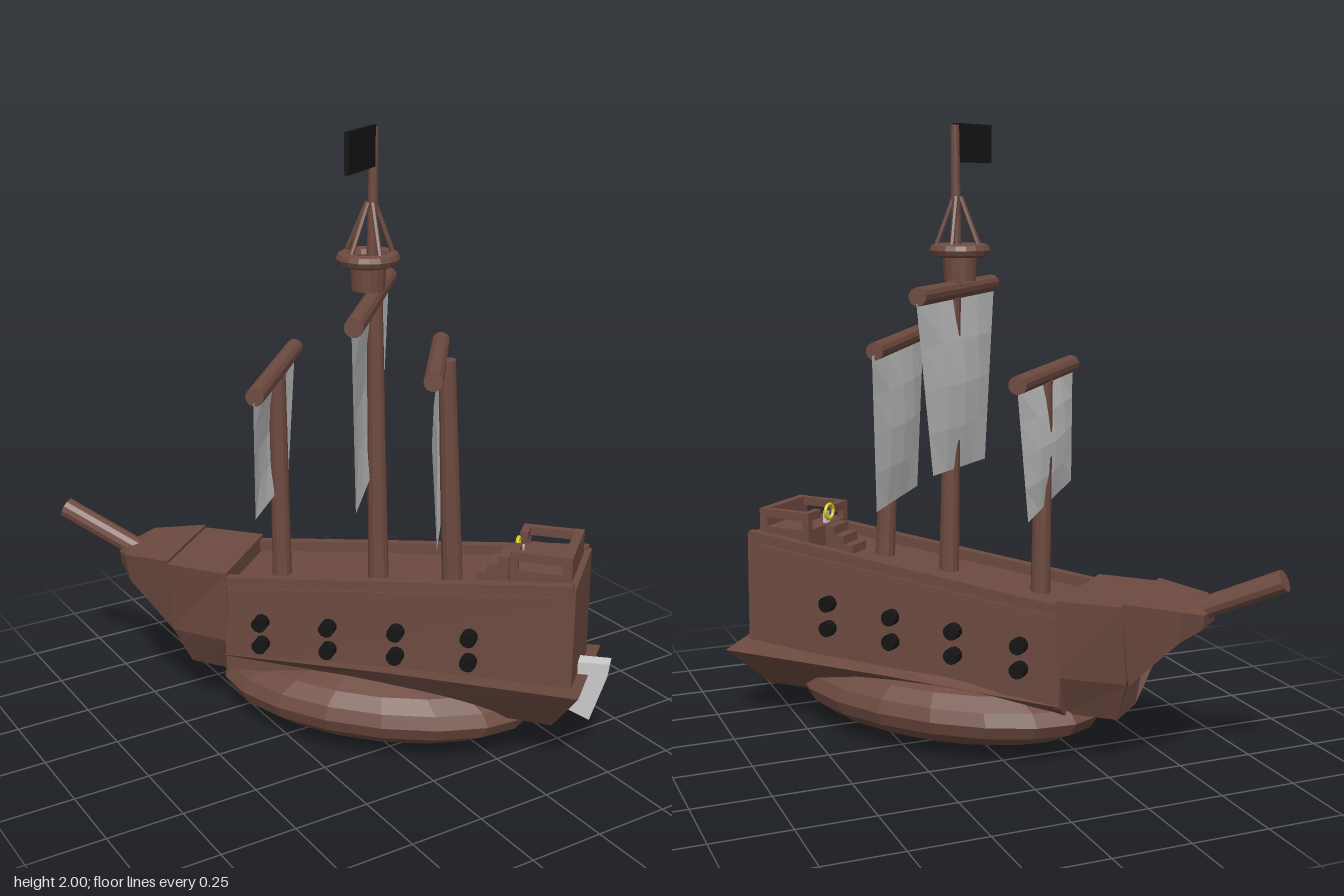
import * as THREE from 'three';

const material = (color, side = THREE.FrontSide) =>
  new THREE.MeshStandardMaterial({ color, side, flatShading: true });
const WOOD = material(0x6d4a40);
const BLACK = material(0x151515);
const YELLOW = material(0xd8c820);
const GREY = material(0xcccccc);
const CLOTH = material(0xcccccc, THREE.DoubleSide);
const V = (x, y, z) => new THREE.Vector3(x, y, z);

function add(parent, name, geometry, mat, x = 0, y = 0, z = 0) {
  const mesh = new THREE.Mesh(geometry, mat);
  mesh.name = name;
  mesh.position.set(x, y, z);
  parent.add(mesh);
  return mesh;
}

// Round bar between two points
function bar(parent, name, a, b, r0, r1 = r0, mat = WOOD, sides = 12) {
  const d = b.clone().sub(a);
  const mesh = add(parent, name, new THREE.CylinderGeometry(r1, r0, d.length(), sides), mat);
  mesh.position.copy(a).add(b).multiplyScalar(0.5);
  mesh.quaternion.setFromUnitVectors(V(0, 1, 0), d.normalize());
  return mesh;
}

// Skin over mirrored cross-sections; each point is [along, height, half width], top to bottom
function loft(sections, roll = 0) {
  const rings = sections.map((s) => {
    const mirrored = s.map(([x, y, w]) => [x, y, -w]).reverse();
    return [...s, ...mirrored].map(([x, y, w]) => [x, y + roll * w, w]);
  });
  const n = rings[0].length, pos = [];
  const tri = (a, b, c) => pos.push(...a, ...b, ...c);
  for (let k = 0; k < rings.length - 1; k++) {
    const A = rings[k], B = rings[k + 1];
    for (let i = 0; i < n; i++) {
      const j = (i + 1) % n;
      tri(A[i], A[j], B[i]);
      tri(A[j], B[j], B[i]);
    }
  }
  const first = rings[0], last = rings[rings.length - 1];
  for (let i = 1; i < n - 1; i++) {
    tri(first[0], first[i + 1], first[i]);
    tri(last[0], last[i], last[i + 1]);
  }
  const g = new THREE.BufferGeometry();
  g.setAttribute('position', new THREE.Float32BufferAttribute(pos, 3));
  g.computeVertexNormals();
  return g;
}

// Four-cornered sail, slightly bellied towards the bow
function sail(parent, name, topA, topB, lowA, lowB) {
  const g = new THREE.PlaneGeometry(1, 1, 4, 4);
  const p = g.attributes.position;
  for (let i = 0; i < p.count; i++) {
    const s = p.getX(i) + 0.5, t = 0.5 - p.getY(i);
    const v = topA.clone().lerp(topB, s).lerp(lowA.clone().lerp(lowB, s), t);
    const belly = 0.025 * Math.sin(Math.PI * s) * Math.sin(Math.PI * t);
    p.setXYZ(i, v.x - 0.75 * belly, v.y, v.z - 0.66 * belly);
  }
  g.computeVertexNormals();
  add(parent, name, g, CLOTH);
}

function buildHull(ship) {
  // Local +x runs to the stern, z across the ship
  add(ship, 'hull', loft([
    [[-0.38, 0.495, 0.17], [-0.38, 0.2, 0.165]],
    [[0.77, 0.61, 0.17], [0.77, 0.27, 0.175]],
  ]), WOOD);
  add(ship, 'lowerHull', loft([
    [[-0.38, 0.23, 0.17], [-0.38, 0.165, 0.1]],
    [[0.2, 0.27, 0.23], [0.2, 0.14, 0.13]],
    [[0.805, 0.285, 0.265], [0.71, 0.13, 0.14]],
  ], 0.13), WOOD);
  const belly = add(ship, 'belly', new THREE.SphereGeometry(1, 18, 10), WOOD, 0.1, 0.136, 0);
  belly.scale.set(0.545, 0.136, 0.3);

  // Forecastle block and tapering bow
  add(ship, 'forecastle', loft([
    [[-0.58, 0.555, 0.17], [-0.585, 0.3, 0.13], [-0.54, 0.165, 0.08]],
    [[-0.37, 0.55, 0.18], [-0.37, 0.3, 0.165], [-0.37, 0.165, 0.1]],
  ]), WOOD);
  add(ship, 'bow', loft([
    [[-0.805, 0.53, 0.06], [-0.8, 0.485, 0.055]],
    [[-0.755, 0.55, 0.125], [-0.745, 0.45, 0.11]],
    [[-0.58, 0.565, 0.17], [-0.59, 0.295, 0.12]],
  ]), WOOD);
  bar(ship, 'bowsprit', V(-0.7, 0.495, 0.005), V(-1.025, 0.648, 0.01), 0.035);

  // Rails and stern board
  for (const s of [-1, 1]) {
    const rail = add(ship, 'rail', new THREE.BoxGeometry(1.14, 0.035, 0.03), WOOD, 0.195, 0.576, s * 0.163);
    rail.rotation.z = 0.1;
  }
  add(ship, 'sternBoard', new THREE.BoxGeometry(0.03, 0.08, 0.34), WOOD, 0.755, 0.6, 0);

  // Poop with open side rails
  add(ship, 'poop', new THREE.BoxGeometry(0.19, 0.1, 0.25), WOOD, 0.65, 0.61, 0);
  add(ship, 'poopBackPanel', new THREE.BoxGeometry(0.03, 0.13, 0.25), WOOD, 0.735, 0.655, 0);
  for (const s of [-1, 1]) {
    add(ship, 'poopRail', new THREE.BoxGeometry(0.19, 0.028, 0.025), WOOD, 0.65, 0.705, s * 0.112);
    add(ship, 'poopPost', new THREE.BoxGeometry(0.025, 0.06, 0.025), WOOD, 0.567, 0.675, s * 0.112);
    add(ship, 'poopFrontRail', new THREE.BoxGeometry(0.025, 0.028, 0.08), WOOD, 0.567, 0.705, s * 0.085);
  }
  for (let i = 0; i < 3; i++) {
    add(ship, 'step', new THREE.BoxGeometry(0.035, 0.03 + 0.03 * i, 0.09), WOOD, 0.45 + 0.035 * i, 0.59 + 0.015 * i, 0);
  }

  // Steering wheel
  const wheel = add(ship, 'wheel', new THREE.TorusGeometry(0.025, 0.006, 6, 16), YELLOW, 0.56, 0.7, 0.015);
  wheel.rotation.y = Math.PI / 2;
  add(ship, 'wheelStand', new THREE.BoxGeometry(0.015, 0.06, 0.02), GREY, 0.572, 0.67, 0.015);

  // Rudder
  const outline = new THREE.Shape([[0.75, 0.33], [0.87, 0.335], [0.865, 0.29], [0.815, 0.13], [0.74, 0.16]]
    .map(([x, y]) => new THREE.Vector2(x, y)));
  add(ship, 'rudder', new THREE.ExtrudeGeometry(outline, { depth: 0.05, bevelEnabled: false }), GREY, 0, 0, -0.012);

  // Two rows of cannons on each side
  [-0.25, -0.02, 0.207, 0.445].forEach((x, i) => {
    for (const s of [-1, 1]) {
      for (const y of [0.315 + 0.013 * i, 0.393 + 0.015 * i]) {
        bar(ship, 'cannon', V(x, y, s * 0.15), V(x, y, s * 0.205), 0.026, 0.026, BLACK, 10);
      }
    }
  });
}

function buildRigging(rig) {
  // Masts, yards and sails
  bar(rig, 'foreMast', V(-0.175, 0.5, -0.145), V(-0.18, 1.21, -0.15), 0.032, 0.027);
  bar(rig, 'mainMast', V(0.045, 0.5, 0.105), V(0.03, 1.52, 0.095), 0.034, 0.024);
  bar(rig, 'mizzenMast', V(0.205, 0.55, 0.293), V(0.17, 1.3, 0.288), 0.034, 0.027);
  bar(rig, 'foreYard', V(-0.385, 1.215, 0.08), V(0.005, 1.215, -0.36), 0.029);
  bar(rig, 'mainYard', V(-0.22, 1.47, 0.375), V(0.245, 1.47, -0.155), 0.029);
  bar(rig, 'mizzenYard', V(-0.015, 1.305, 0.48), V(0.315, 1.287, 0.05), 0.029);
  sail(rig, 'foreSail', V(-0.395, 1.2, 0.09), V(0.005, 1.2, -0.36), V(-0.385, 0.82, 0.07), V(-0.06, 0.78, -0.3));
  sail(rig, 'mainSail', V(-0.23, 1.45, 0.38), V(0.25, 1.45, -0.16), V(-0.165, 0.87, 0.3), V(0.165, 0.9, -0.07));
  sail(rig, 'mizzenSail', V(-0.01, 1.285, 0.49), V(0.33, 1.275, 0.03), V(0.03, 0.76, 0.45), V(0.29, 0.755, 0.12));

  // Crow's nest
  const nest = new THREE.Group();
  nest.name = 'crowsNest';
  nest.position.set(0.01, 0, 0.09);
  rig.add(nest);
  add(nest, 'nestBase', new THREE.CylinderGeometry(0.056, 0.052, 0.09, 14), WOOD, 0, 1.545, 0);
  const ring = add(nest, 'nestRing', new THREE.TorusGeometry(0.077, 0.022, 8, 18), WOOD, 0, 1.597, 0);
  ring.rotation.x = Math.PI / 2;
  for (let i = 0; i < 5; i++) {
    const a = 0.4 + i * Math.PI * 2 / 5, c = Math.cos(a), s = Math.sin(a);
    bar(nest, 'nestStay', V(0.078 * c, 1.605, 0.078 * s), V(0.008 + 0.012 * c, 1.765, 0.012 * s), 0.008, 0.008, WOOD, 6);
  }

  // Flag on its pole
  bar(rig, 'flagPole', V(0.02, 1.5, 0.093), V(0.025, 1.99, 0.095), 0.017, 0.014);
  const flag = add(rig, 'flag', new THREE.BoxGeometry(0.205, 0.122, 0.014), BLACK, -0.06, 1.935, 0.157);
  flag.rotation.y = Math.atan2(0.11, 0.16);
}

export function createModel() {
  const model = new THREE.Group();
  model.name = 'sailingShip';
  const ship = new THREE.Group();
  ship.name = 'shipBody';
  ship.rotation.y = -0.849;
  buildHull(ship);
  const rig = new THREE.Group();
  rig.name = 'rigging';
  buildRigging(rig);
  model.add(ship, rig);
  return model;
}
